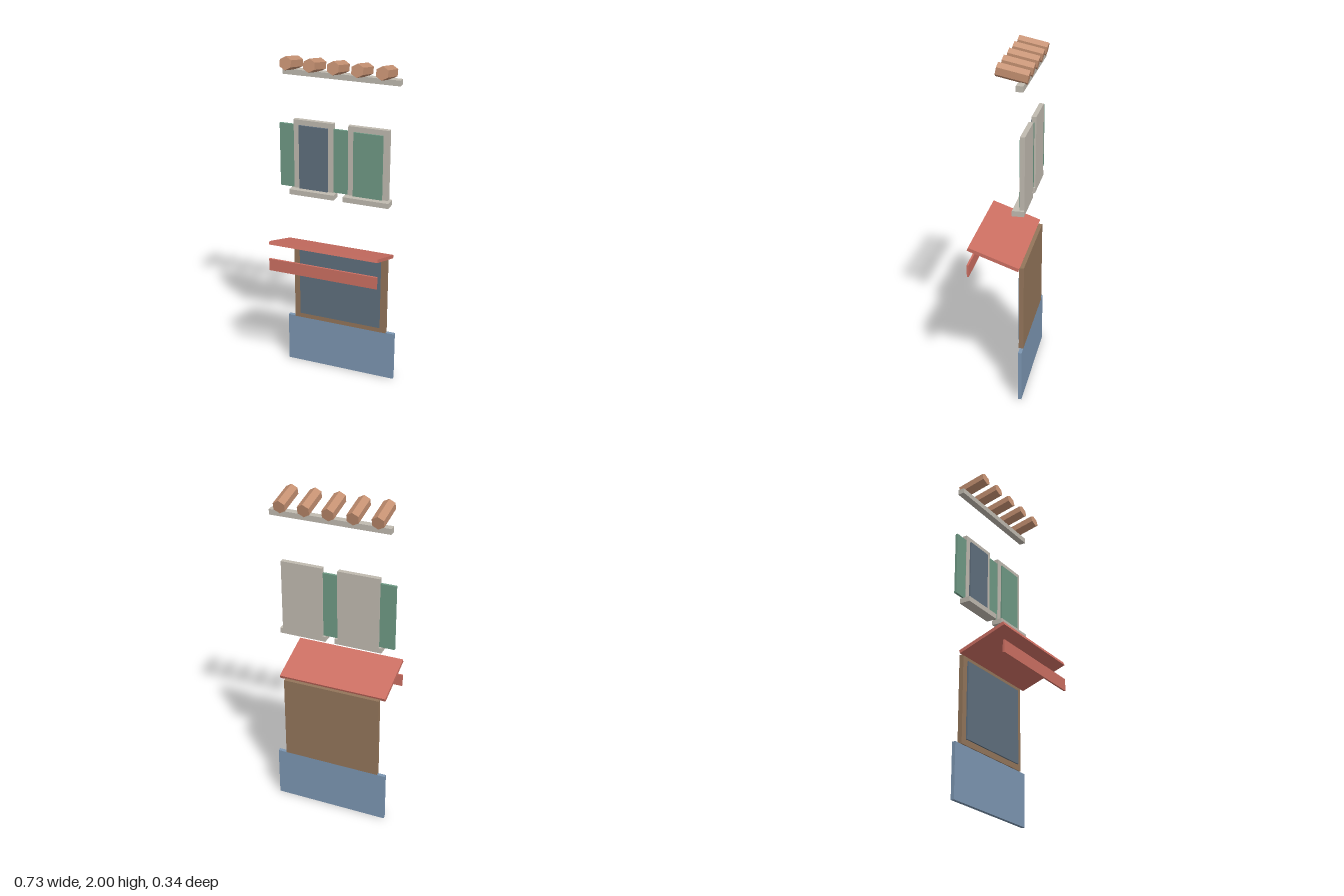
import * as THREE from 'three';

const mat = (name, color) => {
  const m = new THREE.MeshStandardMaterial({ color });
  m.name = name;
  return m;
};

export function createModel() {
  const group = new THREE.Group();
  const blue = mat('blue panel', 0x7c96b2);
  const brown = mat('brown timber', 0x93755a);
  const glass = mat('dark glass', 0x5f6f7e);
  const red = mat('red awning', 0xcc6f62);
  const stone = mat('pale stone', 0xc0bab0);
  const green = mat('green shutter', 0x6f9a85);
  const log = mat('log wood', 0xc49071);

  // Box given by its limits on each axis
  const box = (name, material, [x0, x1], [y0, y1], [z0, z1]) => {
    const mesh = new THREE.Mesh(new THREE.BoxGeometry(x1 - x0, y1 - y0, z1 - z0), material);
    mesh.position.set((x0 + x1) / 2, (y0 + y1) / 2, (z0 + z1) / 2);
    mesh.name = name;
    group.add(mesh);
    return mesh;
  };
  const back = -0.147;
  const cx = 0.0125; // centre line of the facade

  // Ground floor: base panel, shop window and its frame
  box('basePanel', blue, [-0.334, 0.36], [0, 0.316], [back, -0.126]);
  box('shopFrame', brown, [-0.285, 0.307], [0.316, 0.836], [back, -0.12]);
  box('shopGlass', glass, [-0.247, 0.27], [0.35, 0.806], [-0.121, -0.111]);

  // Sloping awning with a hanging front strip
  const awning = new THREE.Mesh(new THREE.BoxGeometry(0.66, 0.02, 0.308), red);
  awning.name = 'awning';
  awning.position.set(cx, 0.8905, 0.0205);
  awning.rotation.x = -0.34;
  group.add(awning);
  box('awningValance', red, [cx - 0.33, cx + 0.33], [0.768, 0.842], [0.16, 0.171]);

  // Upper windows with sills
  for (const x of [-0.155, 0.179]) {
    box('windowFrame', stone, [x - 0.122, x + 0.122], [1.185, 1.605], [back, -0.12]);
    box('windowSill', stone, [x - 0.139, x + 0.139], [1.155, 1.186], [back, -0.08]);
  }
  box('windowGlass', glass, [-0.243, -0.066], [1.187, 1.574], [-0.121, -0.111]);
  box('closedShutter', green, [0.091, 0.267], [1.187, 1.574], [-0.121, -0.111]);

  // Open shutters beside the left window
  for (const side of [-1, 1]) {
    const x = -0.155 + side * 0.166;
    box('openShutter', green, [x - 0.045, x + 0.045], [1.188, 1.573], [-0.136, -0.122]);
  }

  // Beam carrying five tilted hexagonal logs
  box('roofBeam', stone, [-0.334, 0.36], [1.868, 1.9], [-0.148, -0.108]);
  const logGeometry = new THREE.CylinderGeometry(0.0385, 0.0385, 0.173, 6).rotateX(Math.PI / 2).toNonIndexed();
  logGeometry.computeVertexNormals();
  for (let i = -2; i <= 2; i++) {
    const mesh = new THREE.Mesh(logGeometry, log);
    mesh.name = 'roofLog';
    mesh.position.set(cx + i * 0.1395, 1.9445, -0.08);
    mesh.rotation.x = -0.207;
    group.add(mesh);
  }
  return group;
}
